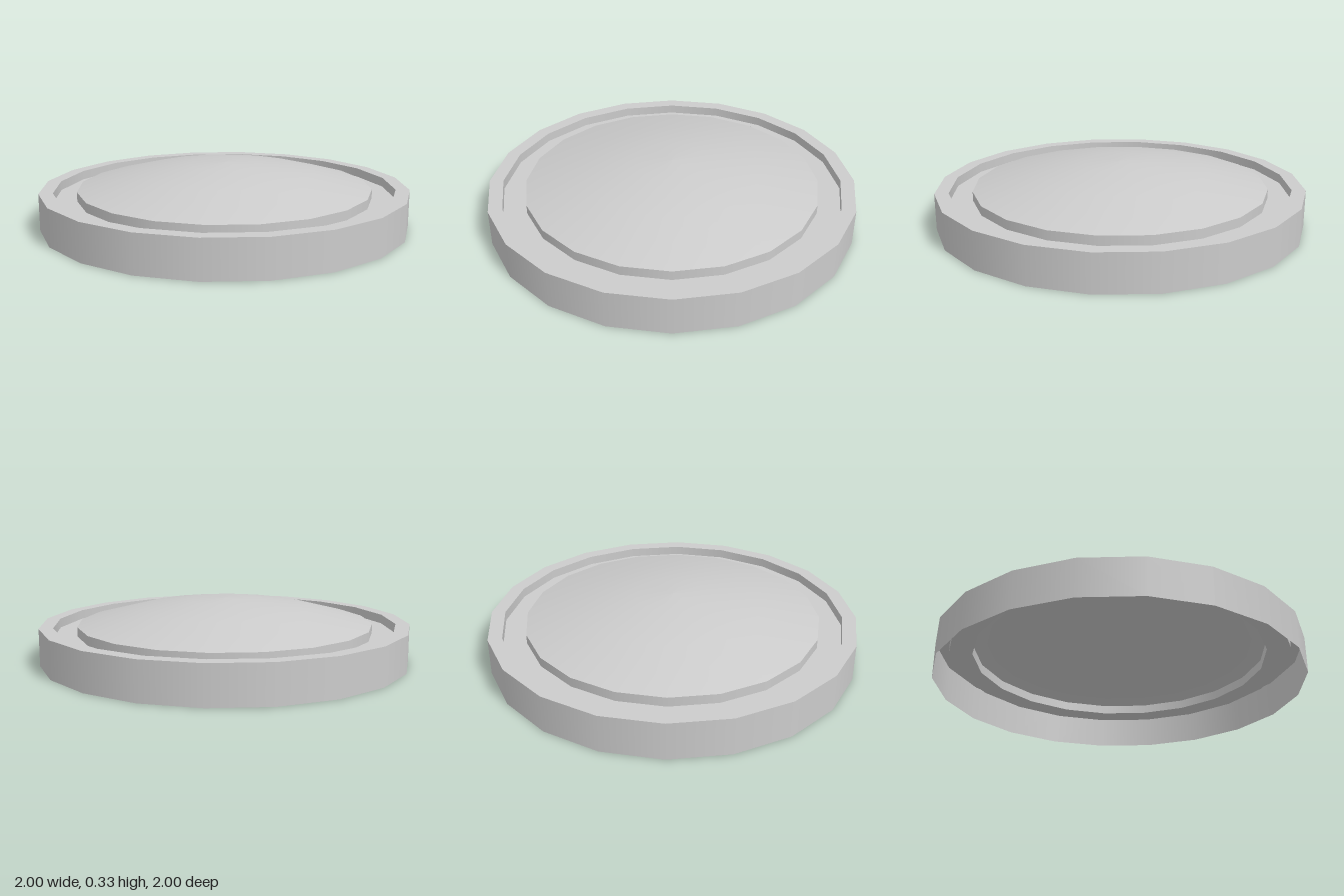
import * as THREE from 'three';

const SIDES = 20;

export function createModel() {
  const group = new THREE.Group();
  const material = new THREE.MeshStandardMaterial({ color: 0xcccccc, side: THREE.DoubleSide });

  // Each band is its own lathe: smooth around, sharp where bands meet.
  const addBand = (name, profile) => {
    const points = profile.map(([r, y]) => new THREE.Vector2(r, y));
    const mesh = new THREE.Mesh(new THREE.LatheGeometry(points, SIDES), material);
    mesh.name = name;
    group.add(mesh);
  };

  // Thin shell, open underneath, from the outer wall in to the dome
  addBand('outerWall', [[1, 0], [1, 0.2]]);
  addBand('rim', [[1, 0.2], [0.925, 0.2]]);
  addBand('grooveOuterWall', [[0.925, 0.2], [0.925, 0.15]]);
  addBand('grooveFloor', [[0.925, 0.15], [0.8, 0.15]]);
  addBand('grooveInnerWall', [[0.8, 0.15], [0.8, 0.2]]);
  addBand('dome', [[0.8, 0.2], [0.48, 0.283], [0.2, 0.324], [0, 0.332]]);

  return group;
}
